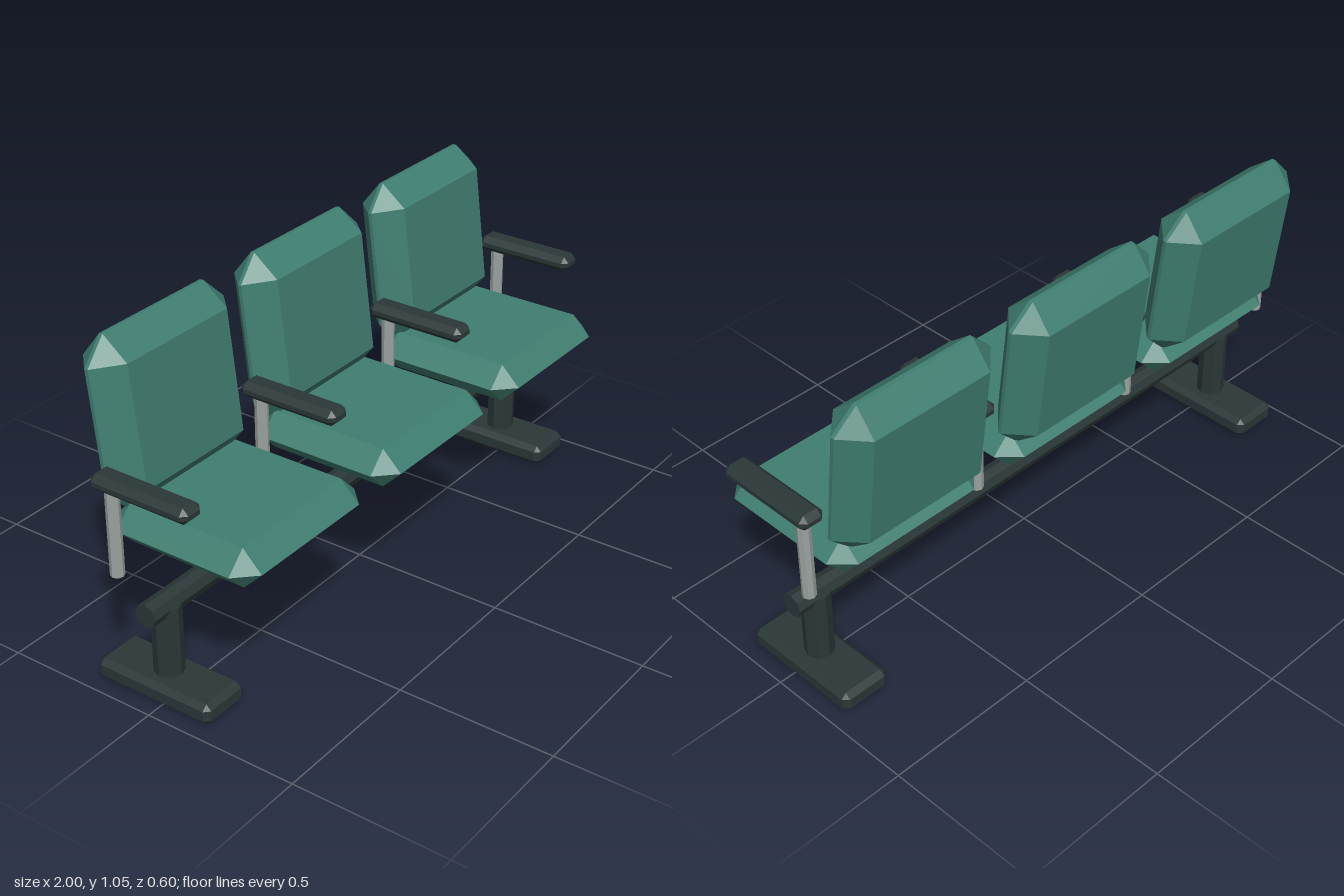
import * as THREE from 'three';

const cushion = new THREE.MeshStandardMaterial({ color: 0x3f7d70, flatShading: true });
cushion.name = 'green upholstery';
const darkMetal = new THREE.MeshStandardMaterial({ color: 0x2b3737, flatShading: true });
darkMetal.name = 'dark frame';
const steel = new THREE.MeshStandardMaterial({ color: 0x9ca3a0, flatShading: true });
steel.name = 'grey steel';

// Box with every edge cut at 45 degrees: 6 faces, 12 edge strips, 8 corner triangles
function chamferBox(w, h, d, c) {
  const half = [w / 2, h / 2, d / 2];
  const out = [];
  // corner point that lies on the face of the given axis
  const point = (axis, s) => new THREE.Vector3(
    ...half.map((v, i) => s[i] * (i === axis ? v : v - c)));
  const tri = (a, b, e) => {
    const n = b.clone().sub(a).cross(e.clone().sub(a));
    const outward = n.dot(a.clone().add(b).add(e)) > 0;
    for (const p of outward ? [a, b, e] : [a, e, b]) out.push(p.x, p.y, p.z);
  };
  const quad = (a, b, e, f) => { tri(a, b, e); tri(a, e, f); };
  const signs = (a, sa, b, sb, k, sk) => {
    const s = [0, 0, 0];
    s[a] = sa; s[b] = sb; s[k] = sk;
    return s;
  };
  for (let a = 0; a < 3; a++) {
    const b = (a + 1) % 3, k = (a + 2) % 3;
    for (const sa of [-1, 1]) {
      quad(...[[-1, -1], [1, -1], [1, 1], [-1, 1]].map(
        ([sb, sk]) => point(a, signs(a, sa, b, sb, k, sk))));
      for (const sb of [-1, 1]) {
        const lo = signs(a, sa, b, sb, k, -1), hi = signs(a, sa, b, sb, k, 1);
        quad(point(a, lo), point(b, lo), point(b, hi), point(a, hi));
        if (a === 0) {
          for (const s of [lo, hi]) tri(point(0, s), point(1, s), point(2, s));
        }
      }
    }
  }
  const g = new THREE.BufferGeometry();
  g.setAttribute('position', new THREE.Float32BufferAttribute(out, 3));
  g.computeVertexNormals();
  return g;
}

export function createModel() {
  const model = new THREE.Group();
  model.name = 'threeSeatBench';

  const add = (name, geometry, material, x, y, z) => {
    const mesh = new THREE.Mesh(geometry, material);
    mesh.name = name;
    mesh.position.set(x, y, z);
    model.add(mesh);
    return mesh;
  };

  const pitch = 0.639;

  // Seat cushions and reclined backrests
  const seatGeo = chamferBox(0.56, 0.125, 0.516, 0.0625);
  const backGeo = chamferBox(0.56, 0.522, 0.16, 0.074);
  for (const i of [-1, 0, 1]) {
    add('seat', seatGeo, cushion, i * pitch, 0.502, 0.043);
    add('backrest', backGeo, cushion, i * pitch, 0.791, -0.198).rotation.x = -0.12;
  }

  // Armrests on steel posts
  const armGeo = chamferBox(0.081, 0.05, 0.338, 0.018);
  const postGeo = new THREE.CylinderGeometry(0.021, 0.021, 0.28, 8);
  for (const i of [-1.5, -0.5, 0.5, 1.5]) {
    add('armrest', armGeo, darkMetal, i * pitch, 0.69, -0.003);
    add('armrestPost', postGeo, steel, i * pitch, 0.537, -0.12);
  }

  // Octagonal beam running the full width
  const beamGeo = new THREE.CylinderGeometry(0.037, 0.037, 1.912, 8);
  add('beam', beamGeo, darkMetal, 0, 0.293, -0.03).rotation.z = Math.PI / 2;

  // Legs and feet
  const legGeo = new THREE.CylinderGeometry(0.045, 0.045, 0.25, 8);
  const footGeo = chamferBox(0.163, 0.067, 0.406, 0.017);
  for (const side of [-1, 1]) {
    add('leg', legGeo, darkMetal, side * 0.871, 0.167, -0.03);
    add('foot', footGeo, darkMetal, side * 0.871, 0.0335, -0.03);
  }

  return model;
}
